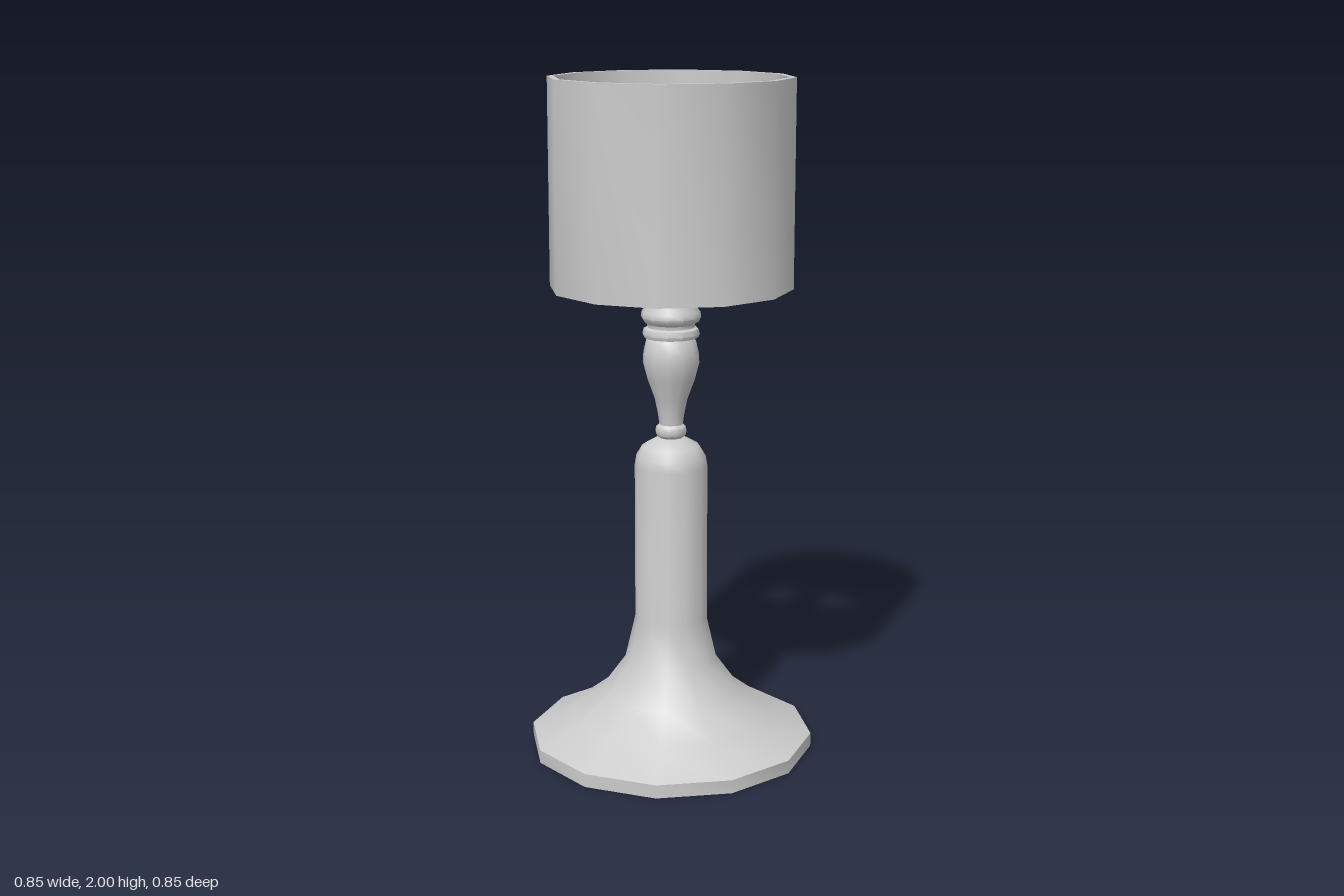
import * as THREE from 'three';
import { toCreasedNormals } from 'three/addons/utils/BufferGeometryUtils.js';

const SIDES = 12;
const grey = new THREE.MeshStandardMaterial({ color: 0xcccccc, side: THREE.DoubleSide });

// Twelve-sided turned part from [radius, height] pairs
function turned(name, profile) {
  const points = profile.map(([r, y]) => new THREE.Vector2(r, y));
  const geometry = toCreasedNormals(new THREE.LatheGeometry(points, SIDES), 0.75);
  const mesh = new THREE.Mesh(geometry, grey);
  mesh.name = name;
  return mesh;
}

export function createModel() {
  const lamp = new THREE.Group();
  lamp.name = 'tableLamp';

  // Flared foot, open underneath, running up into the column
  lamp.add(turned('base', [
    [0.425, 0], [0.425, 0.04], [0.305, 0.1], [0.207, 0.175], [0.138, 0.27],
    [0.108, 0.4], [0.108, 0.87], [0.103, 0.9], [0.085, 0.93], [0.05, 0.95], [0.035, 0.955],
  ]));

  // Bead and vase-shaped stem
  lamp.add(turned('stem', [
    [0.035, 0.955], [0.044, 0.963], [0.046, 0.975], [0.044, 0.987], [0.035, 0.995],
    [0.038, 1.02], [0.048, 1.07], [0.07, 1.13], [0.083, 1.18], [0.081, 1.21],
    [0.073, 1.245], [0.065, 1.255],
  ]));

  // Two stacked rings
  lamp.add(turned('collar', [
    [0.065, 1.252], [0.08, 1.255], [0.084, 1.265], [0.08, 1.28], [0.07, 1.285],
    [0.07, 1.295], [0.08, 1.3], [0.088, 1.315], [0.086, 1.33], [0.075, 1.345],
    [0.07, 1.37], [0.066, 1.4],
  ]));

  // Neck inside the shade with a flanged top
  lamp.add(turned('neck', [
    [0.066, 1.4], [0.058, 1.47], [0.052, 1.56], [0.052, 1.88],
    [0.065, 1.89], [0.065, 1.93], [0, 1.93],
  ]));

  // Shade wall with thickness
  lamp.add(turned('shade', [
    [0.335, 1.4], [0.354, 1.4], [0.354, 2], [0.335, 2], [0.335, 1.4],
  ]));

  // Three arms holding the shade
  const spider = new THREE.Group();
  spider.name = 'shadeSupport';
  for (let i = 0; i < 3; i++) {
    const geometry = new THREE.BoxGeometry(0.02, 0.02, 0.335);
    geometry.translate(0, 1.94, -0.1675);
    const arm = new THREE.Mesh(geometry, grey);
    arm.name = 'supportArm';
    arm.rotation.y = (i * Math.PI * 2) / 3;
    spider.add(arm);
  }
  lamp.add(spider);

  return lamp;
}
